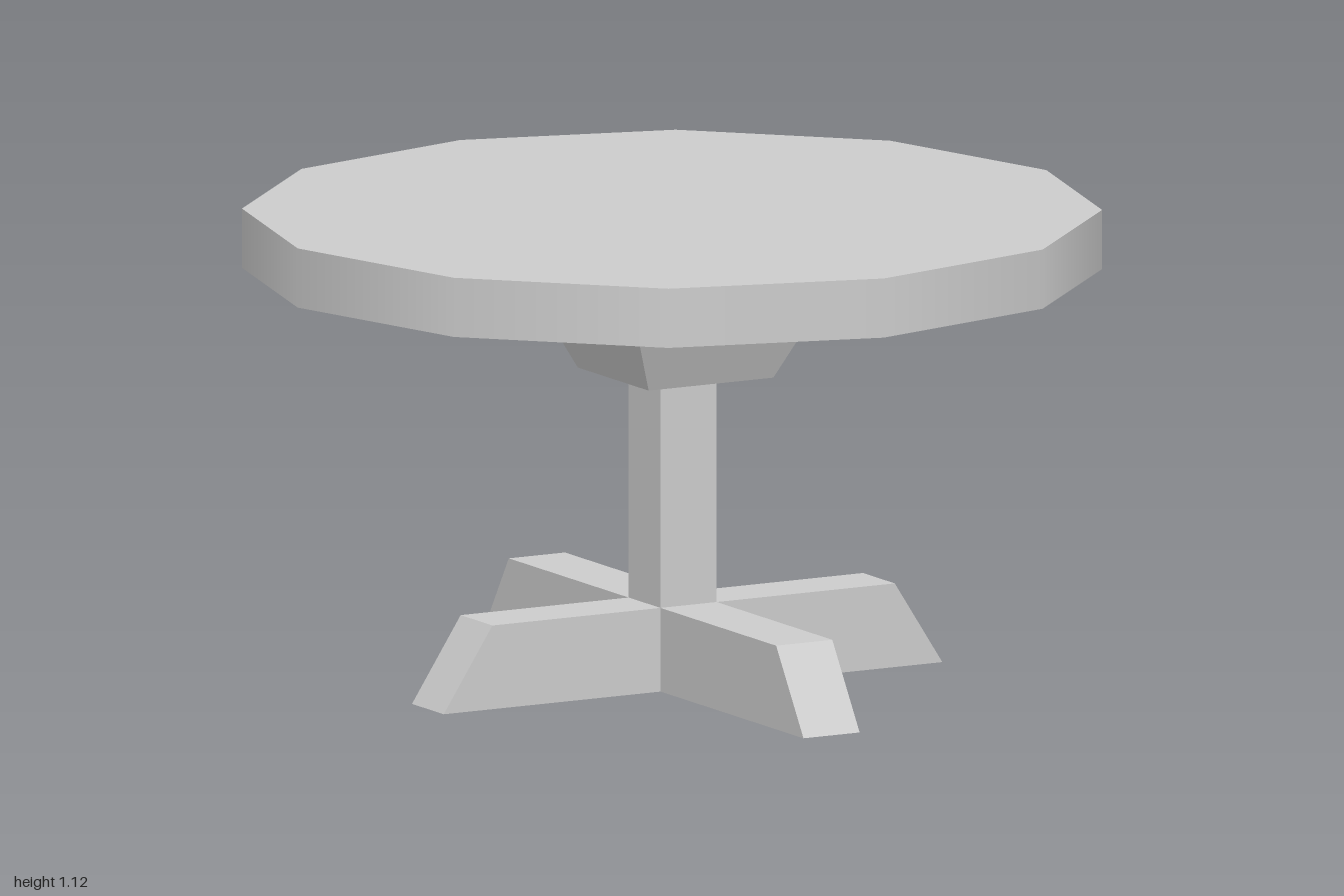
import * as THREE from 'three';

// Box whose bottom and top rectangles differ; each is [x0, x1, z0, z1]
function taperedBox(y0, y1, bottom, top) {
  const geo = new THREE.BoxGeometry(1, 1, 1);
  const p = geo.attributes.position;
  for (let i = 0; i < p.count; i++) {
    const up = p.getY(i) > 0;
    const r = up ? top : bottom;
    p.setXYZ(i, p.getX(i) > 0 ? r[1] : r[0], up ? y1 : y0, p.getZ(i) > 0 ? r[3] : r[2]);
  }
  geo.computeVertexNormals();
  return geo;
}

export function createModel() {
  const group = new THREE.Group();
  const grey = new THREE.MeshStandardMaterial({ color: 0xcccccc });
  grey.name = 'plainGrey';

  const add = (name, geo) => {
    const mesh = new THREE.Mesh(geo, grey);
    mesh.name = name;
    group.add(mesh);
    return mesh;
  };

  // Twelve-sided top with a smooth rim
  add('tableTop', new THREE.CylinderGeometry(1, 1, 0.14, 12)).position.y = 1.053;

  // Flared block under the top
  add('topSupport', taperedBox(0.733, 0.983,
    [-0.15, 0.183, -0.18, 0.155], [-0.263, 0.297, -0.293, 0.267]));

  // Square column
  const x0 = -0.071, x1 = 0.079, z0 = -0.079, z1 = 0.071;
  const post = [x0, x1, z0, z1];
  add('column', taperedBox(0.1, 0.74, post, post));

  // Crossed feet with sloping ends
  add('sideFeet', taperedBox(0, 0.198, [-0.65, 0.682, z0, z1], [-0.52, 0.555, z0, z1]));
  add('frontBackFeet', taperedBox(0, 0.198, [x0, x1, -0.77, 0.746], [x0, x1, -0.645, 0.617]));

  return group;
}
